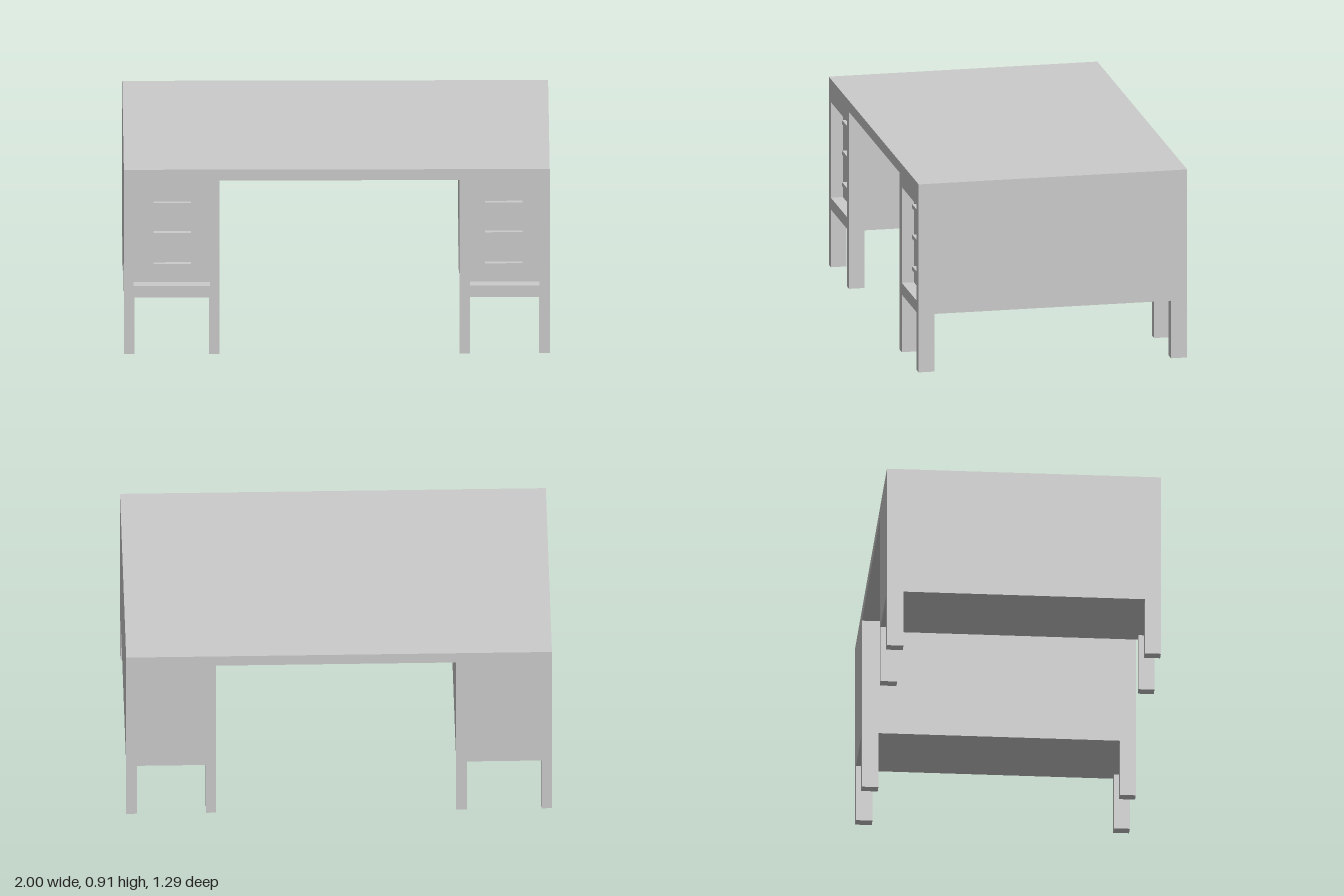
import * as THREE from 'three';

const TOP = 0.914, UNDER = 0.86, BOTTOM = 0.28, FRONT = 0.645, PANEL = 0.587;
// Outer and inner x of each pedestal, its drawer recess, handles and legs
const pedestals = [
  { name: 'right', recess: [-0.955, -0.595], handle: [-0.86, -0.685], legs: [[-1, -0.95], [-0.6, -0.55]] },
  { name: 'left', recess: [0.625, 0.952], handle: [0.697, 0.872], legs: [[0.577, 0.625], [0.95, 1]] },
];

const material = new THREE.MeshStandardMaterial({ color: 0xcccccc, flatShading: true });

function add(group, name, geometry) {
  const mesh = new THREE.Mesh(geometry, material);
  mesh.name = name;
  group.add(mesh);
}

// Box given by its limits on each axis
function box([x0, x1], [y0, y1], [z0, z1]) {
  return new THREE.BoxGeometry(x1 - x0, y1 - y0, z1 - z0)
    .translate((x0 + x1) / 2, (y0 + y1) / 2, (z0 + z1) / 2);
}

// Front outline of the desk: two pedestals joined by the top
function deskOutline() {
  return new THREE.Shape([
    [-1, BOTTOM], [-0.55, BOTTOM], [-0.55, UNDER], [0.577, UNDER],
    [0.577, BOTTOM], [1, BOTTOM], [1, TOP], [-1, TOP],
  ].map(([x, y]) => new THREE.Vector2(x, y)));
}

function extrude(shape, z0, z1) {
  return new THREE.ExtrudeGeometry(shape, { depth: z1 - z0, bevelEnabled: false }).translate(0, 0, z0);
}

export function createModel() {
  const desk = new THREE.Group();
  desk.name = 'desk';

  // Main body, and a front frame with openings for the drawers
  add(desk, 'deskBody', extrude(deskOutline(), -FRONT, PANEL));
  const frame = deskOutline();
  for (const { recess: [a, b] } of pedestals) {
    frame.holes.push(new THREE.Path([[a, 0.337], [a, 0.802], [b, 0.802], [b, 0.337]]
      .map(([x, y]) => new THREE.Vector2(x, y))));
  }
  add(desk, 'frontFrame', extrude(frame, PANEL, FRONT));

  for (const { name, handle, legs } of pedestals) {
    // Drawer handles
    for (const y of [0.425, 0.579, 0.727]) {
      add(desk, `${name}DrawerHandle`, box(handle, [y - 0.01, y + 0.01], [PANEL, PANEL + 0.024]));
    }
    // Legs
    for (const x of legs) {
      add(desk, `${name}FrontLeg`, box(x, [0, BOTTOM], [0.57, FRONT]));
      add(desk, `${name}BackLeg`, box(x, [0, BOTTOM], [-FRONT, -0.567]));
    }
  }
  return desk;
}
